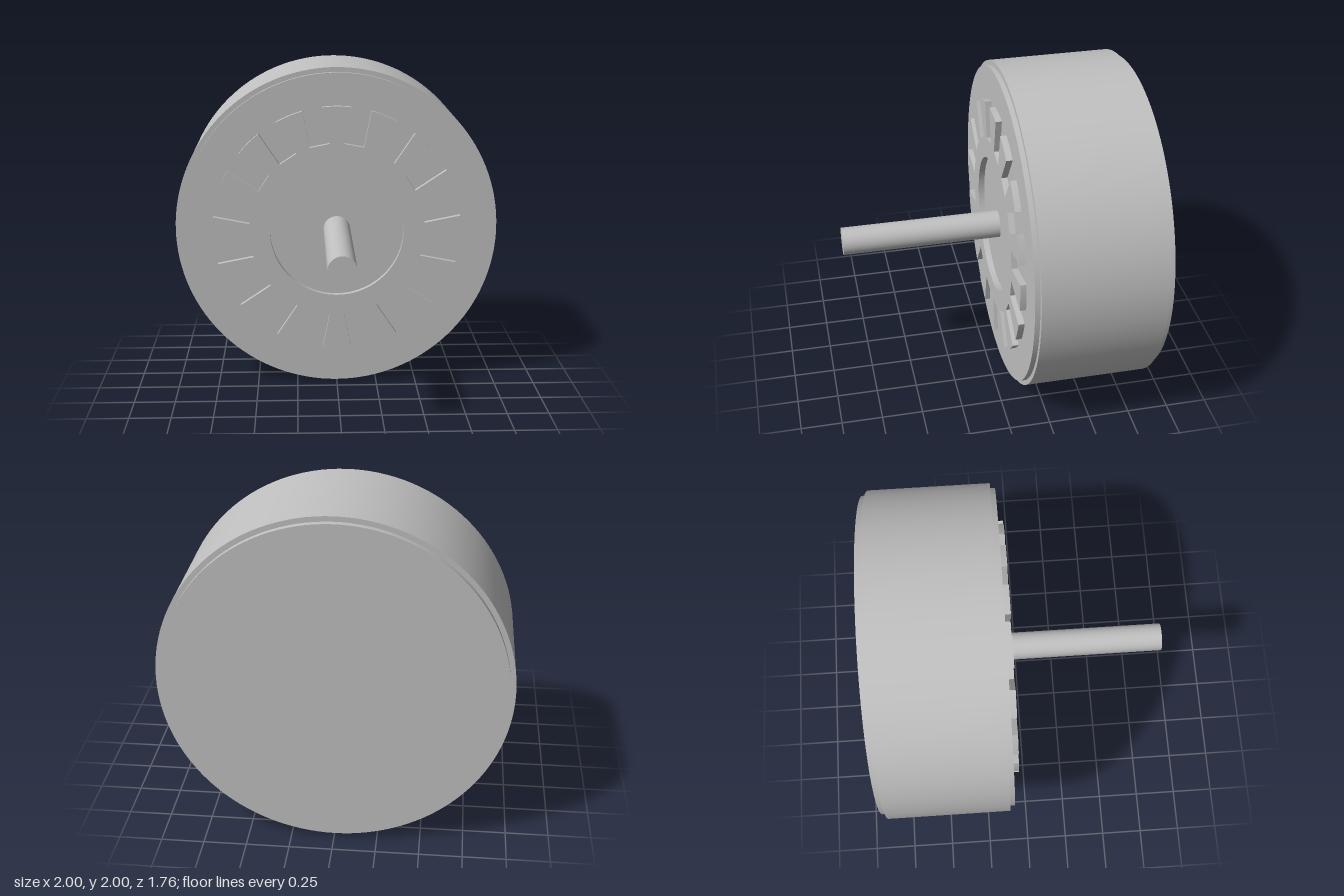
import * as THREE from 'three';
import { toCreasedNormals } from 'three/addons/utils/BufferGeometryUtils.js';

const CENTER_Y = 1;
const SLOTS = 16;

// Cylinder lying along z between two depths
function disc(name, radius, zBack, zFront, material) {
  const geometry = new THREE.CylinderGeometry(radius, radius, zFront - zBack, 128);
  geometry.rotateX(Math.PI / 2);
  const mesh = new THREE.Mesh(geometry, material);
  mesh.name = name;
  mesh.position.set(0, CENTER_Y, (zFront + zBack) / 2);
  return mesh;
}

// Flat ring with parallel-sided slots cut in from its outer edge
function slottedRing(outer, slotFloor, inner, halfSlot, zBack, zFront, material) {
  const shape = new THREE.Shape();
  const step = (Math.PI * 2) / SLOTS;
  const edge = Math.asin(halfSlot / outer);
  const outerAlong = Math.sqrt(outer * outer - halfSlot * halfSlot);
  for (let i = 0; i < SLOTS; i++) {
    const a = (i + 0.5) * step;
    const at = (along, side) => [
      along * Math.cos(a) - side * Math.sin(a),
      along * Math.sin(a) + side * Math.cos(a),
    ];
    if (i === 0) shape.moveTo(...at(outerAlong, -halfSlot));
    shape.lineTo(...at(slotFloor, -halfSlot));
    shape.lineTo(...at(slotFloor, halfSlot));
    shape.lineTo(...at(outerAlong, halfSlot));
    // Rounded outer end of the tooth
    shape.absarc(0, 0, outer, a + edge, a + step - edge, false);
  }
  const hole = new THREE.Path();
  hole.absarc(0, 0, inner, 0, Math.PI * 2, true);
  shape.holes.push(hole);
  const geometry = new THREE.ExtrudeGeometry(shape, {
    depth: zFront - zBack, bevelEnabled: false, curveSegments: 48,
  });
  const mesh = new THREE.Mesh(toCreasedNormals(geometry, Math.PI / 6), material);
  mesh.name = 'slottedRing';
  mesh.position.set(0, CENTER_Y, zBack);
  return mesh;
}

export function createModel() {
  const model = new THREE.Group();
  model.name = 'motor';
  const metal = new THREE.MeshStandardMaterial({ color: 0xc0c0c0 });
  metal.name = 'grey metal';

  model.add(
    disc('housing', 1, -0.845, -0.11, metal),
    // Slightly smaller end caps step in from the housing
    disc('frontCap', 0.97, -0.2, -0.08, metal),
    disc('backCap', 0.97, -0.88, -0.75, metal),
    slottedRing(0.77, 0.54, 0.415, 0.0615, -0.08, -0.043, metal),
    disc('shaft', 0.083, -0.1, 0.88, metal),
  );
  return model;
}
